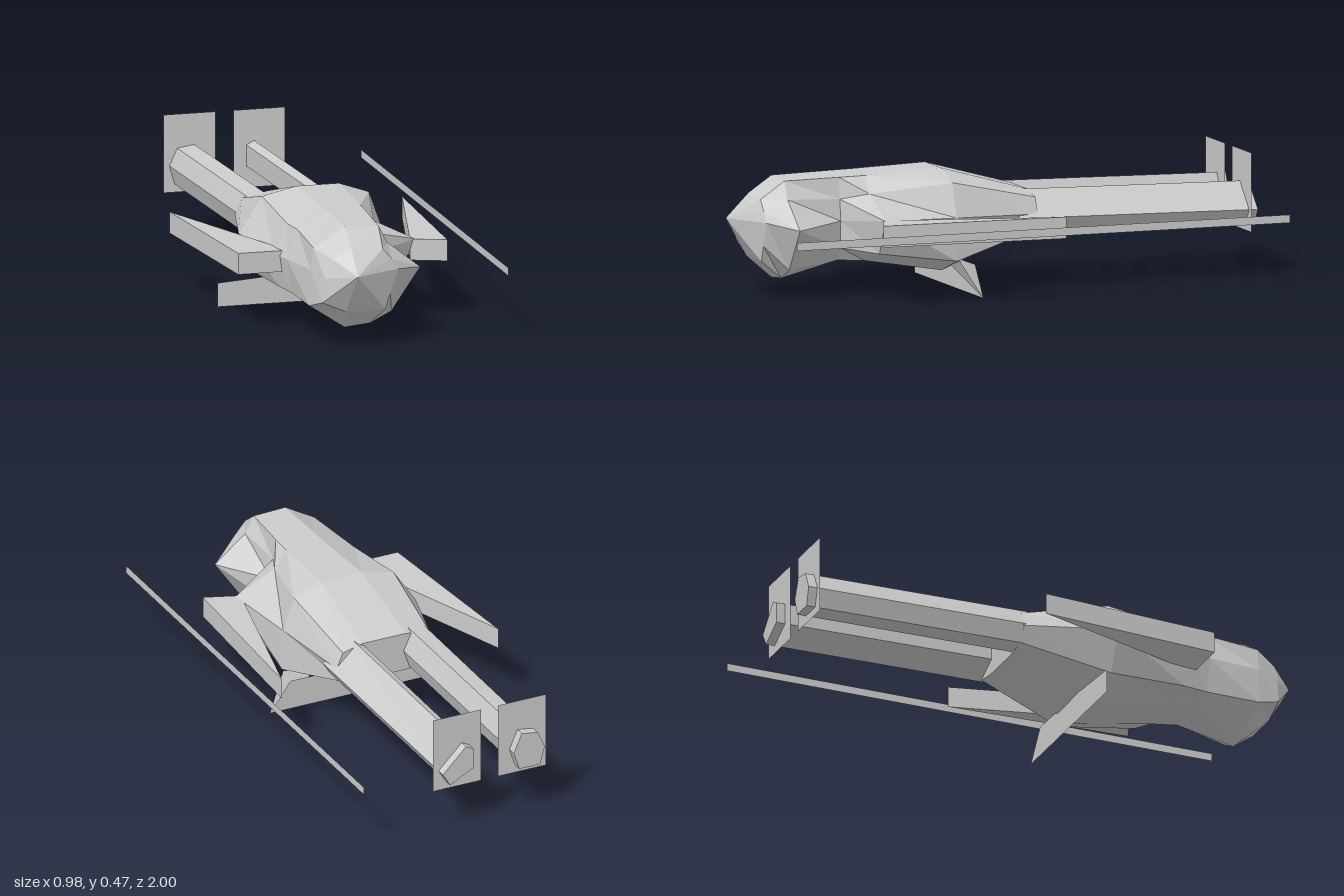
import * as THREE from 'three';

const solid = new THREE.MeshStandardMaterial({ color: 0xcccccc, flatShading: true });
const thin = new THREE.MeshStandardMaterial({ color: 0xcccccc, flatShading: true, side: THREE.DoubleSide });

// Join rings of [x, y] points (clockwise seen from the front), ordered back to front.
// Both ends close on a point.
function loft(rings, backTip, frontTip) {
  const n = rings[0].points.length;
  const at = (i, j) => [...rings[i].points[j % n], rings[i].z];
  const pos = [];
  for (let j = 0; j < n; j++) {
    pos.push(...backTip, ...at(0, j), ...at(0, j + 1));
    for (let i = 0; i < rings.length - 1; i++) {
      const a = at(i, j), b = at(i, j + 1), c = at(i + 1, j + 1), d = at(i + 1, j);
      pos.push(...a, ...d, ...b, ...b, ...d, ...c);
    }
    const last = rings.length - 1;
    pos.push(...at(last, j), ...frontTip, ...at(last, j + 1));
  }
  const geo = new THREE.BufferGeometry();
  geo.setAttribute('position', new THREE.Float32BufferAttribute(pos, 3));
  geo.computeVertexNormals();
  return geo;
}

// Flat polygon given as [x, y, z] corners, drawn as a fan
function sheet(corners) {
  const pos = [];
  for (let i = 1; i < corners.length - 1; i++) pos.push(...corners[0], ...corners[i], ...corners[i + 1]);
  const geo = new THREE.BufferGeometry();
  geo.setAttribute('position', new THREE.Float32BufferAttribute(pos, 3));
  geo.computeVertexNormals();
  return geo;
}

// Wedge with a triangular outline of [x, z] corners
function wedge(corners) {
  const shape = new THREE.Shape(corners.map(([x, z]) => new THREE.Vector2(x, -z)));
  return new THREE.ExtrudeGeometry(shape, { depth: 0.08, bevelEnabled: false })
    .rotateX(-Math.PI / 2).translate(0, 0.22, 0);
}

export function createModel() {
  const model = new THREE.Group();
  const add = (name, geo, mat = solid) => {
    const mesh = new THREE.Mesh(geo, mat);
    mesh.name = name;
    model.add(mesh);
    return mesh;
  };

  // Torso: hips, belly, shoulders, neck
  const neck = { z: 0.61, points: [[-0.1, 0.445], [0.045, 0.44], [0.055, 0.36], [0.065, 0.28], [0.06, 0.18],
    [0.03, 0.13], [-0.13, 0.13], [-0.24, 0.15], [-0.26, 0.28], [-0.22, 0.39]] };
  const torso = [
    { z: -0.13, points: [[-0.12, 0.36], [0.06, 0.36], [0.14, 0.34], [0.165, 0.28], [0.14, 0.22],
      [0.06, 0.21], [-0.12, 0.21], [-0.22, 0.22], [-0.245, 0.28], [-0.22, 0.34]] },
    { z: 0.21, points: [[-0.11, 0.455], [0.055, 0.455], [0.17, 0.415], [0.215, 0.29], [0.22, 0.13],
      [0.06, 0.075], [-0.13, 0.08], [-0.27, 0.14], [-0.33, 0.29], [-0.24, 0.425]] },
    { z: 0.51, points: [[-0.1, 0.447], [0.05, 0.442], [0.1, 0.38], [0.26, 0.3], [0.2, 0.17],
      [0.05, 0.125], [-0.15, 0.12], [-0.255, 0.15], [-0.28, 0.28], [-0.23, 0.39]] },
    neck,
  ];
  // Head: broad crown with a pointed right cheek and blunt nose
  const head = [
    { z: 0.82, points: [[-0.1, 0.44], [0.03, 0.435], [0.065, 0.37], [0.19, 0.27], [0.08, 0.11],
      [0, 0.07], [-0.1, 0.06], [-0.235, 0.15], [-0.23, 0.285], [-0.22, 0.37]] },
    { z: 0.91, points: [[-0.1, 0.38], [0.02, 0.37], [0.055, 0.33], [0.08, 0.29], [0.05, 0.2],
      [0.03, 0.14], [-0.12, 0.14], [-0.21, 0.18], [-0.2, 0.27], [-0.17, 0.34]] },
  ];
  add('body', loft([...torso, ...head], [-0.03, 0.28, -0.13], [-0.1, 0.29, 1]));

  // Legs: long faceted columns, slightly thicker toward the hips
  const legs = {
    leftLeg: [[0.04, 0.33], [0.07, 0.345], [0.165, 0.25], [0.135, 0.2], [0.04, 0.25]],
    rightLeg: [[-0.225, 0.335], [-0.16, 0.345], [-0.127, 0.27], [-0.15, 0.2], [-0.235, 0.2], [-0.255, 0.27]],
  };
  for (const [name, points] of Object.entries(legs)) {
    const cx = name === 'leftLeg' ? 0.1 : -0.19;
    const hip = points.map(([x, y]) => [cx + 0.015 + (x - cx) * 1.05, y + 0.02]);
    add(name, loft([{ z: -1, points }, { z: -0.05, points: hip }], [cx, 0.27, -1], [cx, 0.29, -0.05]));
  }

  // Upright plates around the leg ends
  for (const [name, x] of [['leftFootPlate', 0.09], ['rightFootPlate', -0.1775]]) {
    add(name, new THREE.PlaneGeometry(0.198, 0.295), thin).position.set(x, 0.3175, -0.965);
  }

  // Swept-back arms
  add('leftArm', wedge([[0.4, -0.15], [0.37, 0.56], [0.24, 0.51]]));
  add('rightArm', wedge([[-0.49, -0.15], [-0.43, 0.555], [-0.24, 0.555]]));

  // Crosswise sheet under the belly and its folded end
  add('bellySheet', sheet([[-0.39, 0, 0.14], [0.305, 0, 0.14], [0.22, 0.115, 0.14], [-0.1, 0.11, 0.14], [-0.39, 0.09, 0.14]]), thin);
  add('bellyFold', sheet([[0.305, 0, 0.14], [0.22, 0.13, 0.2], [0.1, 0.1, 0.19]]), thin);

  // Long thin strip at the side
  add('sideStrip', new THREE.PlaneGeometry(1.95, 0.03).rotateY(Math.PI / 2), thin).position.set(0.49, 0.26, -0.025);

  return model;
}
